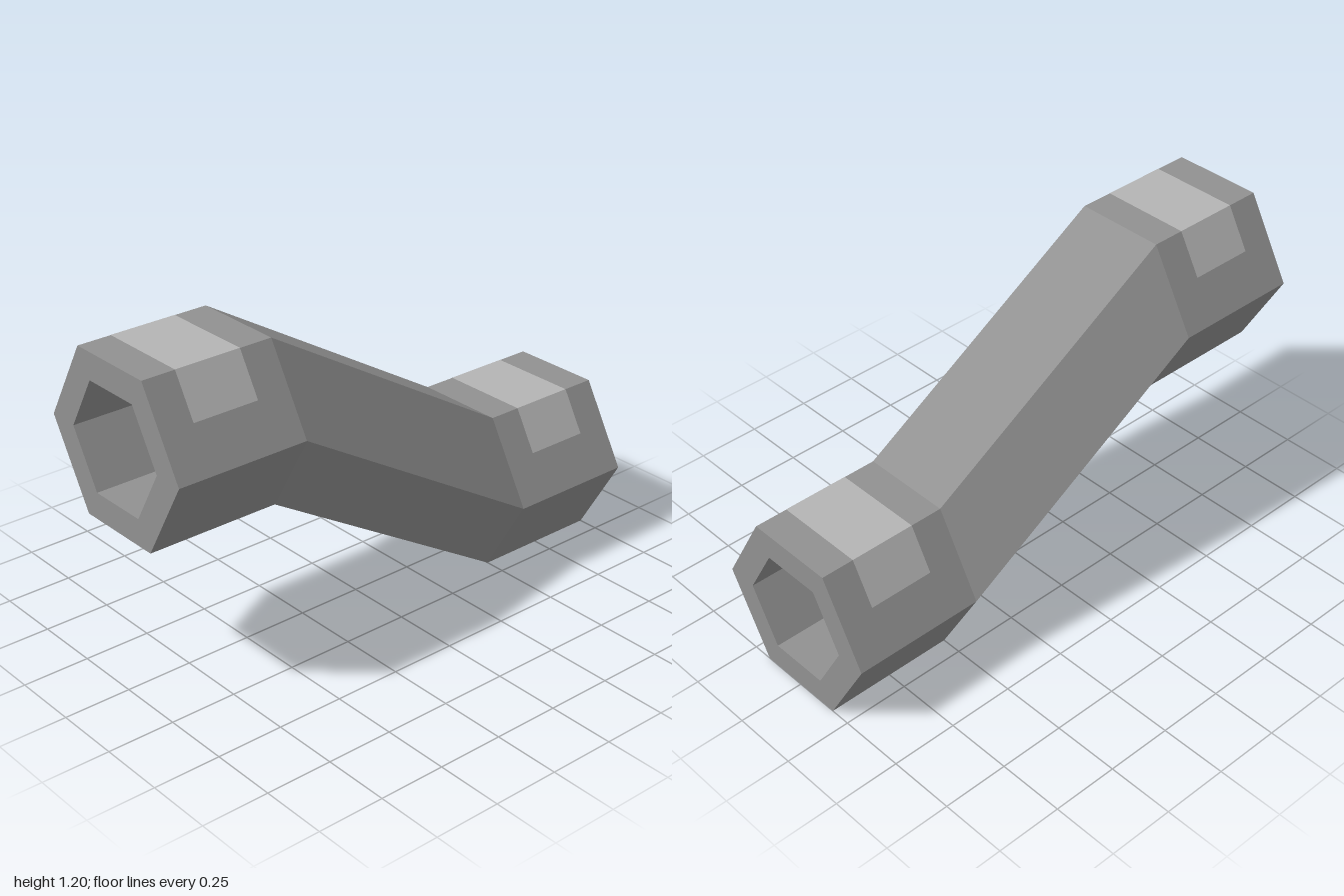
import * as THREE from 'three';

const hex = (apothem) => Array.from({ length: 6 }, (_, i) => {
  const r = apothem / Math.cos(Math.PI / 6), a = i * Math.PI / 3;
  return [r * Math.cos(a), r * Math.sin(a)];
});

// Place a cross-section at height y and depth z
const ring = (section, y, z) => section.map(([px, py]) => [px, py + y, z]);

// Skin consecutive cross-sections with flat quads
function loft(rings, closed) {
  const pos = [];
  for (let s = 0; s < rings.length - 1; s++) {
    const n = rings[s].length;
    for (let i = 0; i < (closed ? n : n - 1); i++) {
      const j = (i + 1) % n;
      const a = rings[s][i], b = rings[s][j], c = rings[s + 1][j], d = rings[s + 1][i];
      pos.push(...a, ...d, ...c, ...a, ...c, ...b);
    }
  }
  const geo = new THREE.BufferGeometry();
  geo.setAttribute('position', new THREE.Float32BufferAttribute(pos, 3));
  geo.computeVertexNormals();
  return geo;
}

export function createModel() {
  const model = new THREE.Group();
  model.name = 'offsetHexPipe';

  // Pipe: outer skin front to back, then bore back to front, joined by end rims
  const path = [[0.9, 1], [0.9, 0.5], [0.3, -0.5], [0.3, -1]];
  const outer = path.map(([y, z]) => ring(hex(0.3), y, z));
  const bore = path.map(([y, z]) => ring(hex(0.2), y, z)).reverse();
  const pipe = new THREE.Mesh(
    loft([...outer, ...bore, outer[0]], true),
    new THREE.MeshStandardMaterial({ color: 0x919191, flatShading: true })
  );
  pipe.name = 'hexPipe';
  model.add(pipe);

  // Pale saddle bands over the top of each straight end
  const bandMaterial = new THREE.MeshStandardMaterial({
    color: 0xb4b4b4, flatShading: true, side: THREE.DoubleSide
  });
  const h = hex(0.3006);
  const mid = (p, q) => [(p[0] + q[0]) / 2, (p[1] + q[1]) / 2];
  const saddle = [mid(h[0], h[1]), h[1], h[2], mid(h[2], h[3])];
  for (const [name, y, z] of [['frontBand', 0.9, 0.75], ['backBand', 0.3, -0.75]]) {
    const band = new THREE.Mesh(
      loft([ring(saddle, y, z + 0.125), ring(saddle, y, z - 0.125)], false), bandMaterial);
    band.name = name;
    model.add(band);
  }
  return model;
}
